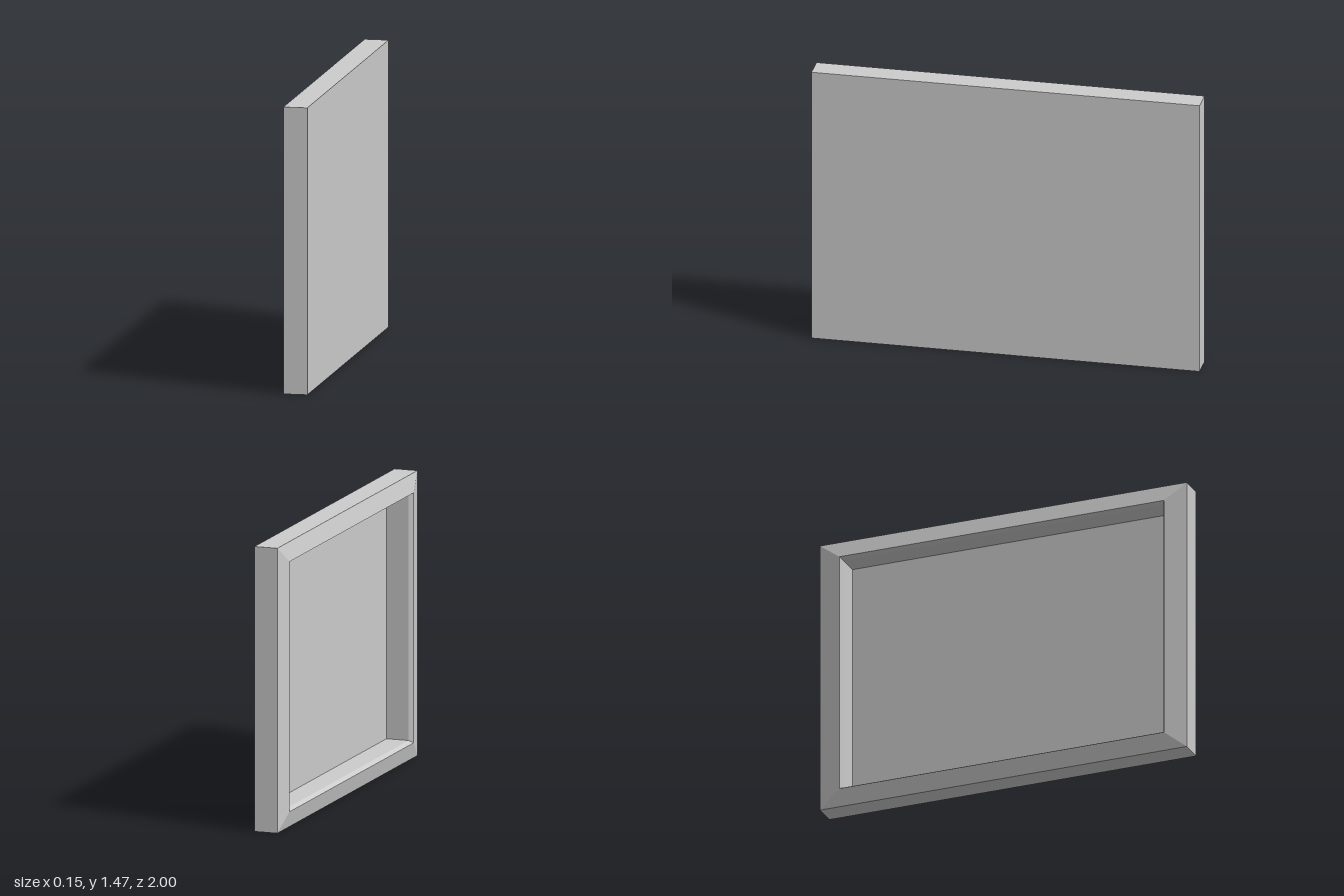
import * as THREE from 'three';

const HEIGHT = 1.47;

// Joins a series of rectangular rings, each [x, half depth in z, half height in y]
function rectLoft(rings) {
  const corners = [[1, -1], [-1, -1], [-1, 1], [1, 1]];
  const point = ([x, hz, hy], i) => {
    const [sz, sy] = corners[i % 4];
    return [x, HEIGHT / 2 + sy * hy, sz * hz];
  };
  const positions = [];
  for (let r = 0; r < rings.length - 1; r++) {
    for (let i = 0; i < 4; i++) {
      const a = point(rings[r], i), b = point(rings[r + 1], i);
      const c = point(rings[r + 1], i + 1), d = point(rings[r], i + 1);
      positions.push(...a, ...b, ...c, ...a, ...c, ...d);
    }
  }
  const geometry = new THREE.BufferGeometry();
  geometry.setAttribute('position', new THREE.Float32BufferAttribute(positions, 3));
  geometry.computeVertexNormals();
  return geometry;
}

export function createModel() {
  const group = new THREE.Group();
  group.name = 'framedPanel';
  const material = new THREE.MeshStandardMaterial({ color: 0xcccccc, flatShading: true, side: THREE.DoubleSide });

  // Frame: outer wall, bevelled rim, sloped inner lip, straight inner wall
  const frame = new THREE.Mesh(rectLoft([
    [0.069, 1, 0.735],
    [-0.05, 1, 0.735],
    [-0.073, 0.885, 0.645],
    [-0.05, 0.872, 0.632],
    [0.069, 0.872, 0.632],
  ]), material);
  frame.name = 'frame';
  group.add(frame);

  // Thin flat panel closing the frame
  const panel = new THREE.Mesh(new THREE.BoxGeometry(0.004, HEIGHT, 2), material);
  panel.name = 'panel';
  panel.position.set(0.071, HEIGHT / 2, 0);
  group.add(panel);

  return group;
}
